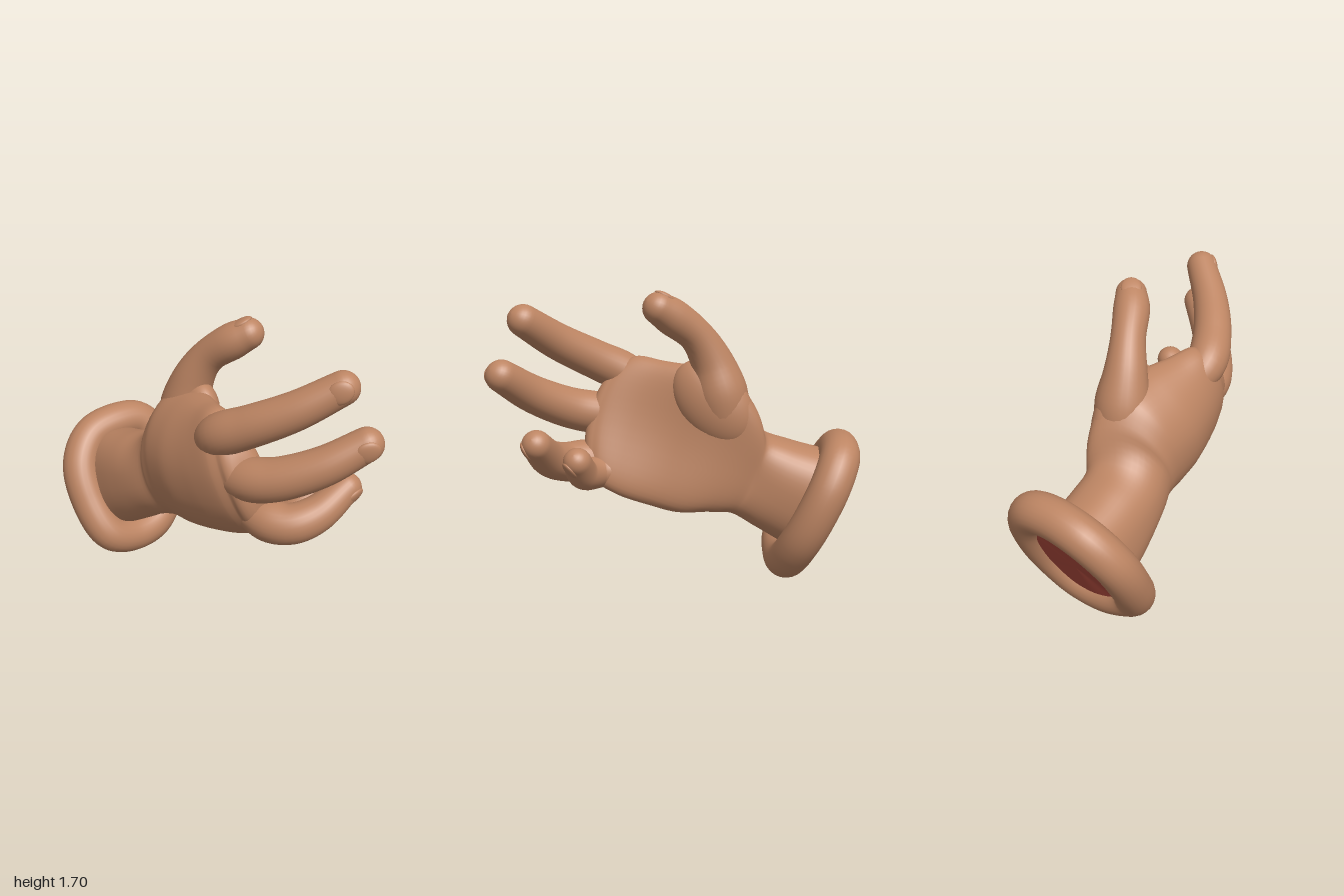
import * as THREE from 'three';

const V = (x, y, z) => new THREE.Vector3(x, y, z);
const curveOf = (pts, closed = false) =>
  new THREE.CatmullRomCurve3(pts.map((p) => V(...p)), closed, 'centripetal');

// Skin a list of closed rings (each an array of points, counter-clockwise about the path)
function loft(rings) {
  const n = rings[0].length, pos = [], idx = [];
  rings.forEach((r) => r.forEach((p) => pos.push(p.x, p.y, p.z)));
  for (let i = 0; i < rings.length - 1; i++) {
    for (let j = 0; j < n; j++) {
      const a = i * n + j, b = i * n + (j + 1) % n;
      idx.push(a, b, a + n, b, b + n, a + n);
    }
  }
  const g = new THREE.BufferGeometry();
  g.setAttribute('position', new THREE.Float32BufferAttribute(pos, 3));
  g.setIndex(idx);
  g.computeVertexNormals();
  return g;
}

// Tapered tube along a path with a rounded tip; each path entry is [x, y, z, radius]
function digitGeometry(path) {
  const N = 30, SIDES = 28, rings = [];
  const curve = curveOf(path);
  const radii = new THREE.CatmullRomCurve3(path.map((p, i) => V(i, p[3], 0)));
  const f = curve.computeFrenetFrames(N);
  const ring = (c, r, k) => {
    const out = [];
    for (let j = 0; j < SIDES; j++) {
      const a = (j / SIDES) * Math.PI * 2;
      out.push(c.clone().addScaledVector(f.normals[k], r * Math.cos(a))
        .addScaledVector(f.binormals[k], r * Math.sin(a)));
    }
    rings.push(out);
  };
  for (let i = 0; i <= N; i++) {
    const u = i / N;
    ring(curve.getPointAt(u), radii.getPoint(curve.getUtoTmapping(u)).y, i);
  }
  const end = path[path.length - 1];
  for (let i = 1; i <= 8; i++) {
    const a = (i / 8) * Math.PI * 0.499;
    ring(V(...end).addScaledVector(f.tangents[N], end[3] * Math.sin(a)), end[3] * Math.cos(a), N);
  }
  return loft(rings);
}

export function createModel() {
  const model = new THREE.Group();
  const skin = new THREE.MeshStandardMaterial({ color: 0xbd8563 });
  const inside = new THREE.MeshStandardMaterial({ color: 0xab493c, side: THREE.DoubleSide });
  const add = (name, geo, mat, parent = model) => {
    const m = new THREE.Mesh(geo, mat);
    m.name = name;
    parent.add(m);
  };

  // Rolled cuff: a thick tube in a tilted plane, its left side set further back
  const planeZ = (x, y) => -0.55 - 0.2 * (x + 0.2) - 0.475 * (y - 0.11);
  const cuffCurve = curveOf([
    [-0.2, 0.112, -0.015], [-0.02, 0.145, -0.01], [0.095, 0.28, 0], [0.128, 0.43, 0],
    [0.1, 0.62, 0], [0, 0.745, 0], [-0.15, 0.77, -0.01], [-0.34, 0.725, -0.04],
    [-0.45, 0.59, -0.05], [-0.46, 0.4, -0.035], [-0.375, 0.18, 0],
  ].map(([x, y, dz]) => [x, y, planeZ(x, y) + dz]), true);
  add('cuff', new THREE.TubeGeometry(cuffCurve, 96, 0.114, 24, true), skin);

  // Dark lining closing the back of the cuff
  const back = V(-0.012, -0.028, -0.058);
  const mid = V(-0.17, 0.44, planeZ(-0.17, 0.44) - 0.015);
  const rim = cuffCurve.getSpacedPoints(48).slice(0, 48).reverse();
  add('cuffLining', loft([0.9, 0.5, 0.001].map((s) =>
    rim.map((p) => p.clone().lerp(mid, 1 - s).add(back)))), inside);

  // Wrist and palm: thumb-side edge, little-finger-side edge, then [half thickness, bow x, bow z]
  const sections = [
    [[-0.17, 0.75, -0.83], [-0.21, 0.2, -0.56], [0.23, 0, 0]],
    [[-0.14, 0.81, -0.61], [-0.15, 0.31, -0.39], [0.225, -0.02, 0]],
    [[-0.1, 0.88, -0.45], [-0.08, 0.4, -0.25], [0.215, -0.05, 0]],
    [[-0.04, 1.06, -0.39], [0.0, 0.42, -0.13], [0.22, -0.09, 0]],
    [[-0.01, 1.2, -0.28], [0.07, 0.42, 0.02], [0.22, -0.12, 0]],
    [[-0.03, 1.25, -0.08], [0.11, 0.46, 0.17], [0.205, -0.13, 0.02]],
    [[-0.07, 1.27, 0.12], [0.15, 0.51, 0.32], [0.175, -0.1, 0.06]],
    [[-0.09, 1.29, 0.27], [0.165, 0.56, 0.42], [0.145, -0.06, 0.09]],
    [[-0.08, 1.27, 0.34], [0.16, 0.58, 0.46], [0.12, -0.04, 0.09]],
  ];
  const [tops, bottoms, params] = [0, 1, 2].map((k) =>
    new THREE.CatmullRomCurve3(sections.map((s) => V(...s[k]))));
  const centre = (t) => tops.getPoint(t).add(bottoms.getPoint(t)).multiplyScalar(0.5);
  const power = (c) => Math.sign(c) * Math.abs(c) ** 0.85;
  const palmRing = (t, scale = 1, forward = 0) => {
    const c = centre(t), q = params.getPoint(t);
    const u = tops.getPoint(t).sub(c);
    const axis = centre(Math.min(1, t + 0.03)).sub(centre(Math.max(0, t - 0.03))).normalize();
    const v = u.clone().cross(axis).normalize().multiplyScalar(q.x);
    const out = [];
    for (let j = 0; j < 48; j++) {
      const a = (j / 48) * Math.PI * 2;
      const s = power(Math.sin(a)) * scale, w = power(Math.cos(a)) * scale;
      const bow = 1 - s * s;
      out.push(c.clone().addScaledVector(u, s).addScaledVector(v, w)
        .addScaledVector(axis, forward).add(V(q.y * bow, 0, q.z * bow)));
    }
    return out;
  };
  const palm = [];
  for (let i = 0; i <= 48; i++) palm.push(palmRing(i / 48));
  for (let i = 1; i <= 6; i++) {
    const a = (i / 6) * Math.PI * 0.499;
    palm.push(palmRing(1, Math.cos(a) ** 0.6, 0.06 * Math.sin(a)));
  }
  add('palm', loft(palm), skin);

  // Fleshy mound at the root of the thumb
  const mound = new THREE.SphereGeometry(1, 40, 28);
  mound.scale(0.125, 0.28, 0.2);
  mound.rotateX(0.7);
  mound.translate(0.03, 1.05, -0.18);
  add('thumbMound', mound, skin);

  // Thumb and fingers, each with the direction its nail faces
  const digits = {
    thumb: [[[-0.04, 0.7, -0.3, 0.06], [-0.01, 0.88, -0.25, 0.125], [0.01, 1.1, -0.22, 0.155],
      [0.03, 1.29, -0.17, 0.12], [0.085, 1.44, -0.092, 0.097], [0.17, 1.55, 0.025, 0.102],
      [0.23, 1.6, 0.085, 0.088]], [-0.6, 0.55, -0.6]],
    indexFinger: [[[-0.09, 1.07, 0.2, 0.08], [-0.1, 1.18, 0.35, 0.117], [-0.01, 1.275, 0.51, 0.113],
      [0.15, 1.395, 0.68, 0.103], [0.335, 1.53, 0.81, 0.089]], [-0.25, 0.32, 0.95]],
    middleFinger: [[[-0.07, 0.95, 0.32, 0.09], [-0.01, 0.965, 0.5, 0.12], [0.08, 1.005, 0.64, 0.118],
      [0.25, 1.11, 0.8, 0.106], [0.435, 1.24, 0.908, 0.09]], [-0.1, 0.1, 1]],
    ringFinger: [[[0.04, 0.73, 0.38, 0.09], [0.1, 0.705, 0.54, 0.12], [0.18, 0.71, 0.645, 0.113],
      [0.31, 0.76, 0.695, 0.103], [0.49, 0.88, 0.705, 0.082]], [0.3, -0.4, 0.8]],
    littleFinger: [[[0.1, 0.66, 0.34, 0.08], [0.16, 0.655, 0.46, 0.093], [0.27, 0.67, 0.51, 0.09],
      [0.375, 0.765, 0.515, 0.079]], [0.6, -0.4, 0.5]],
  };
  for (const [name, [path, facing]] of Object.entries(digits)) {
    const group = new THREE.Group();
    group.name = name;
    model.add(group);
    add(name + 'Body', digitGeometry(path), skin, group);

    // Nail: a flattened oval set into the fingertip
    const tip = path[path.length - 1], r = tip[3];
    const dir = curveOf(path).getTangent(1);
    const up = V(...facing);
    up.addScaledVector(dir, -up.dot(dir)).normalize();
    const side = up.clone().cross(dir);
    const nail = new THREE.SphereGeometry(1, 24, 16);
    nail.scale(r * 0.66, r * 0.25, r * 0.8);
    nail.applyMatrix4(new THREE.Matrix4().makeBasis(side, up, dir));
    const at = V(...tip).addScaledVector(up, r * 0.8).addScaledVector(dir, -r * 0.12);
    nail.translate(at.x, at.y, at.z);
    add(name + 'Nail', nail, skin, group);
  }
  return model;
}
